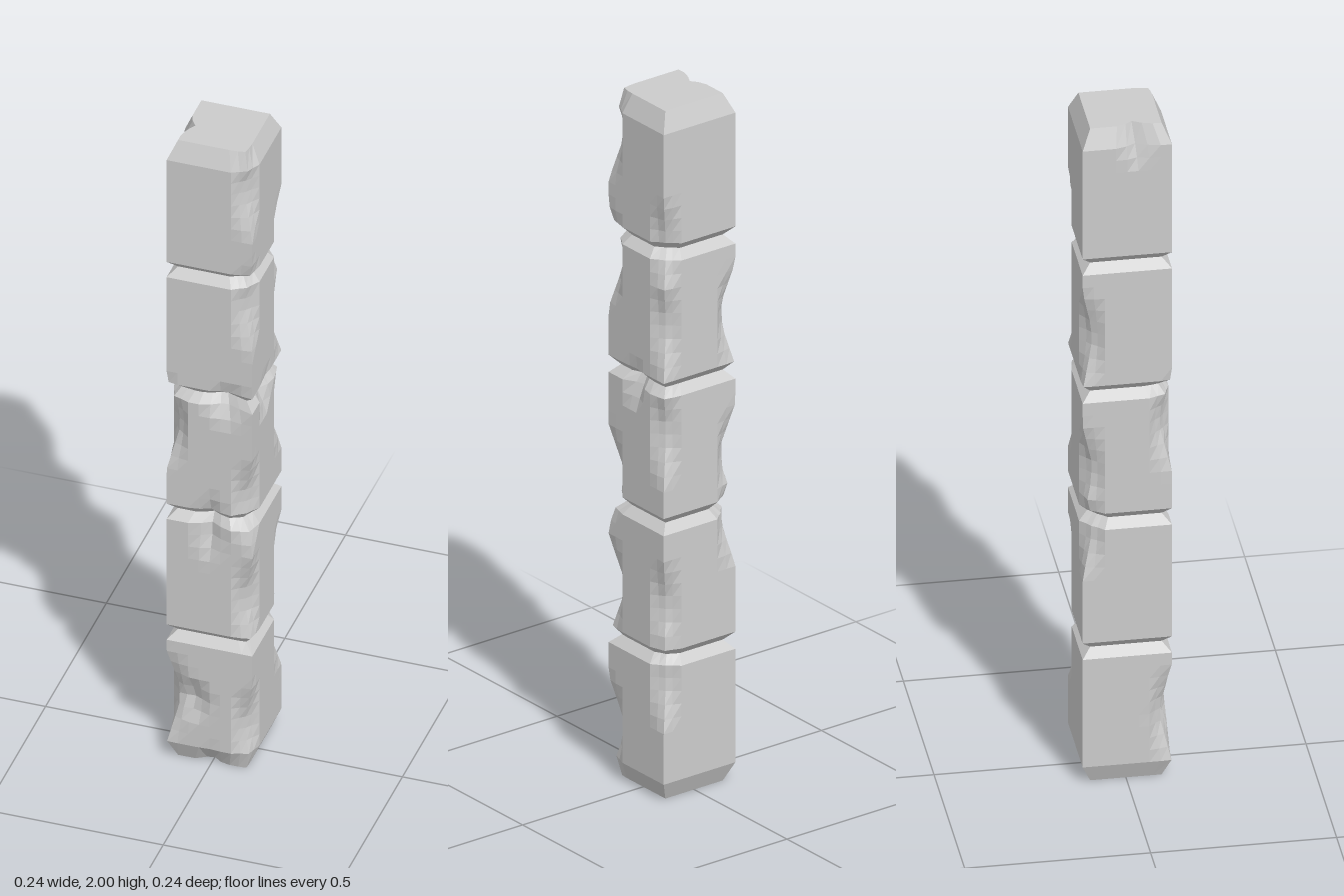
import * as THREE from 'three';

const HALF = 0.12, INSET = 0.8, ROWS = 11, BLOCKS = 5, STEP = 0.393;

// Heights of the chips along each upright edge
const edges = [
  { sx: 1, sz: 1, heights: [0.14, 0.55, 0.87, 1.51, 1.88] },
  { sx: 1, sz: -1, heights: [0.35, 0.55, 1.06, 1.37, 1.6] },
  { sx: -1, sz: -1, heights: [0.78, 0.95, 1.36] },
  { sx: -1, sz: 1, heights: [0.2, 1.09] },
];
const chips = edges.flatMap(({ sx, sz, heights }) => heights.map((y) => (
  { at: new THREE.Vector3(sx * HALF, y, sz * HALF), width: 0.06, height: 0.15 })));

// Chips in the middle of a face
function faceChip(x, y, z, width, height) {
  chips.push({ at: new THREE.Vector3(x, y, z), width, height });
}
faceChip(-0.07, 0.2, HALF, 0.08, 0.08);
faceChip(-0.01, 0, HALF, 0.05, 0.06);
faceChip(0, 0.77, HALF, 0.045, 0.11);
faceChip(0.05, 1.18, HALF, 0.07, 0.06);
faceChip(HALF, 1.17, 0.01, 0.05, 0.06);
faceChip(-HALF, 1.98, 0.03, 0.045, 0.1);

// How far the chips pull a point in toward the axis, as a fraction
function chipPull(x, y, z) {
  let pull = 0;
  for (const { at, width, height } of chips) {
    const d = Math.hypot((x - at.x) / width, (z - at.z) / width, (y - at.y) / height);
    pull = Math.max(pull, 0.23 * Math.min(1, 1.25 * (1 - d)));
  }
  return pull;
}

function stoneGeometry(index) {
  const isBase = index === 0, isTop = index === BLOCKS - 1;
  const y0 = isBase ? 0 : 0.017 + STEP * index;
  const y1 = isTop ? 2 : 0.017 + STEP * (index + 1);
  const lowBevel = isBase ? 0.055 : 0.025, highBevel = isTop ? 0.055 : 0.025;

  const geo = new THREE.BoxGeometry(2 * HALF, 1, 2 * HALF, 8, ROWS, 8);
  const pos = geo.attributes.position;
  for (let i = 0; i < pos.count; i++) {
    const x = pos.getX(i), z = pos.getZ(i);
    const row = Math.round((pos.getY(i) + 0.5) * ROWS);
    // End rows form the bevels, the others spread evenly between them
    let y = THREE.MathUtils.lerp(y0 + lowBevel, y1 - highBevel, (row - 1) / (ROWS - 2));
    if (row === 0) y = y0;
    if (row === ROWS) y = y1;
    const inset = row === 0 || row === ROWS ? INSET : 1;
    const scale = inset * (1 - chipPull(x, y, z));
    pos.setXYZ(i, x * scale, y, z * scale);
  }
  const flat = geo.toNonIndexed();
  flat.computeVertexNormals();
  return flat;
}

export function createModel() {
  const pillar = new THREE.Group();
  pillar.name = 'stonePillar';
  const stone = new THREE.MeshStandardMaterial({ color: 0xcccccc, flatShading: true });
  for (let i = 0; i < BLOCKS; i++) {
    const block = new THREE.Mesh(stoneGeometry(i), stone);
    block.name = `stoneBlock${i + 1}`;
    pillar.add(block);
  }
  return pillar;
}
